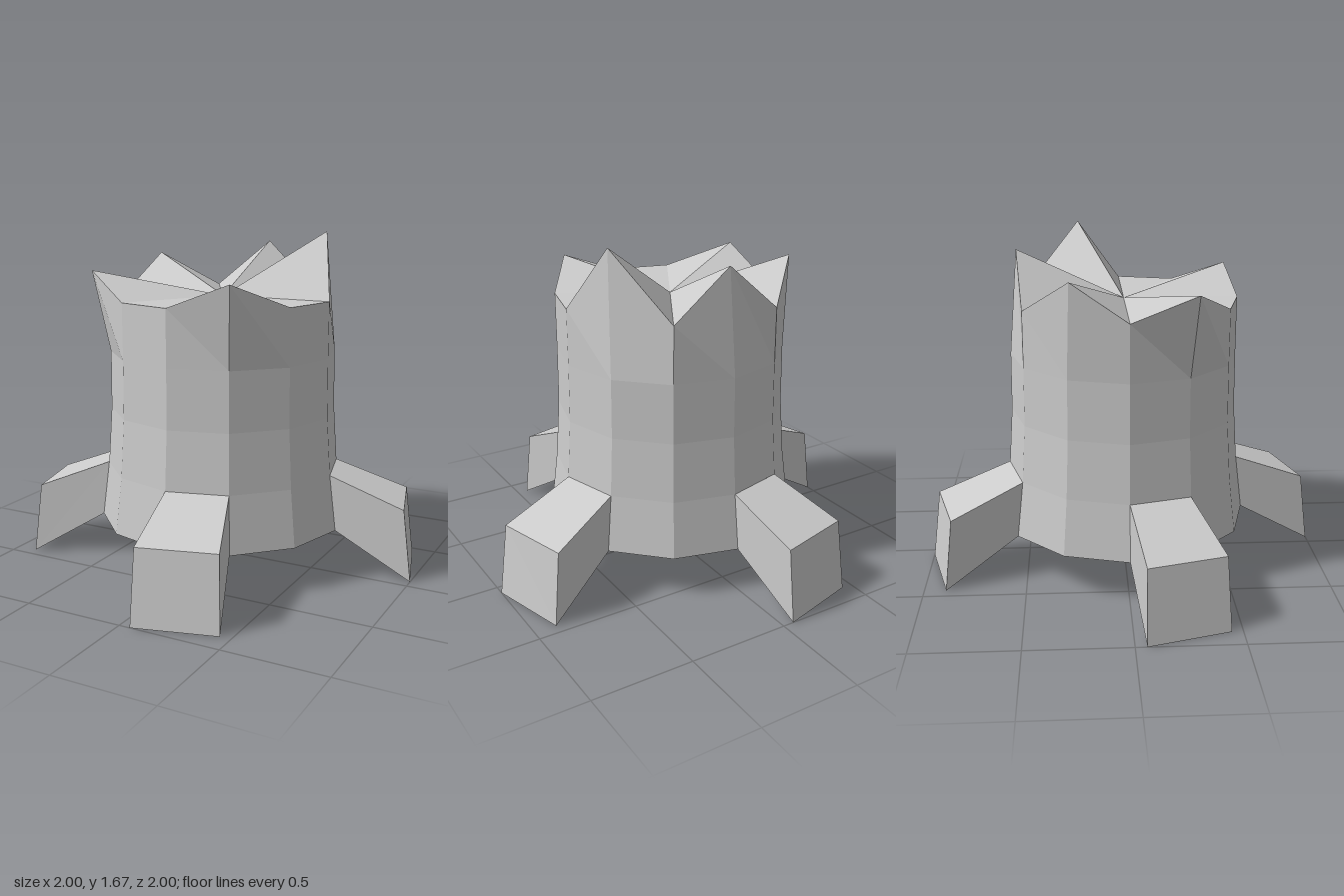
import * as THREE from 'three';

const SIDES = 12;

// Flat-shaded mesh from corner points and polygons (each fanned into triangles)
function polyMesh(name, points, polygons) {
  const pos = [];
  for (const p of polygons)
    for (let i = 1; i < p.length - 1; i++)
      pos.push(...points[p[0]], ...points[p[i]], ...points[p[i + 1]]);
  const geo = new THREE.BufferGeometry();
  geo.setAttribute('position', new THREE.Float32BufferAttribute(pos, 3));
  geo.computeVertexNormals();
  const mesh = new THREE.Mesh(geo, new THREE.MeshStandardMaterial({ color: 0xcccccc, flatShading: true }));
  mesh.name = name;
  return mesh;
}

// Twelve-sided trunk flaring at the base, with a splintered rim
function makeTrunk() {
  const rings = [[0.625, 0.22], [0.59, 0.5], [0.57, 0.79], [0.567, 1.08], [0.567, 1.357]];
  // Rim splinters: rim index -> raised corner
  const splinters = {
    2: [0.31, 1.476, 0.54],
    5: [-0.575, 1.483, 0.31],
    7: [-0.52, 1.537, -0.27],
    9: [0.01, 1.6, -0.525],
    11: [0.46, 1.675, -0.22],
  };
  const points = [];
  rings.forEach(([r, y], row) => {
    for (let i = 0; i < SIDES; i++) {
      const a = (i / SIDES) * Math.PI * 2;
      const corner = [r * Math.cos(a), y, r * Math.sin(a)];
      points.push(row === rings.length - 1 && splinters[i] ? splinters[i] : corner);
    }
  });
  const base = points.push([0, 0.22, 0]) - 1;
  const heart = points.push([0, 1.357, 0]) - 1;
  const top = (rings.length - 1) * SIDES;

  const faces = [];
  for (let i = 0; i < SIDES; i++) {
    const j = (i + 1) % SIDES;
    for (let row = 0; row < rings.length - 1; row++) {
      if (row === 0 && i % 3 === 2) continue; // a root joins here
      const lo = row * SIDES, hi = lo + SIDES;
      faces.push([lo + i, hi + i, hi + j, lo + j]);
    }
    faces.push([base, i, j], [heart, top + j, top + i]);
  }
  return polyMesh('trunk', points, faces);
}

// Stubby root sloping from the trunk down to the ground
function makeRoot() {
  const points = [
    [0, 0.5, 0.59], [0.295, 0.5, 0.511], // top, at trunk
    [0, 0.22, 0.625], [0.3125, 0.22, 0.541], // bottom, at trunk
    [0.055, 0.36, 0.955], [0.425, 0.36, 0.855], // top, outer end
    [0.055, 0, 1], [0.447, 0, 0.893], // bottom, outer end
  ];
  return polyMesh('root', points, [
    [0, 4, 5, 1], [4, 6, 7, 5], [2, 3, 7, 6], [0, 2, 6, 4], [1, 5, 7, 3],
  ]);
}

export function createModel() {
  const model = new THREE.Group();
  model.name = 'treeStump';
  model.add(makeTrunk());
  ['frontRoot', 'leftRoot', 'backRoot', 'rightRoot'].forEach((name, k) => {
    const root = makeRoot();
    root.name = name;
    root.rotation.y = (k * Math.PI) / 2;
    model.add(root);
  });
  return model;
}
